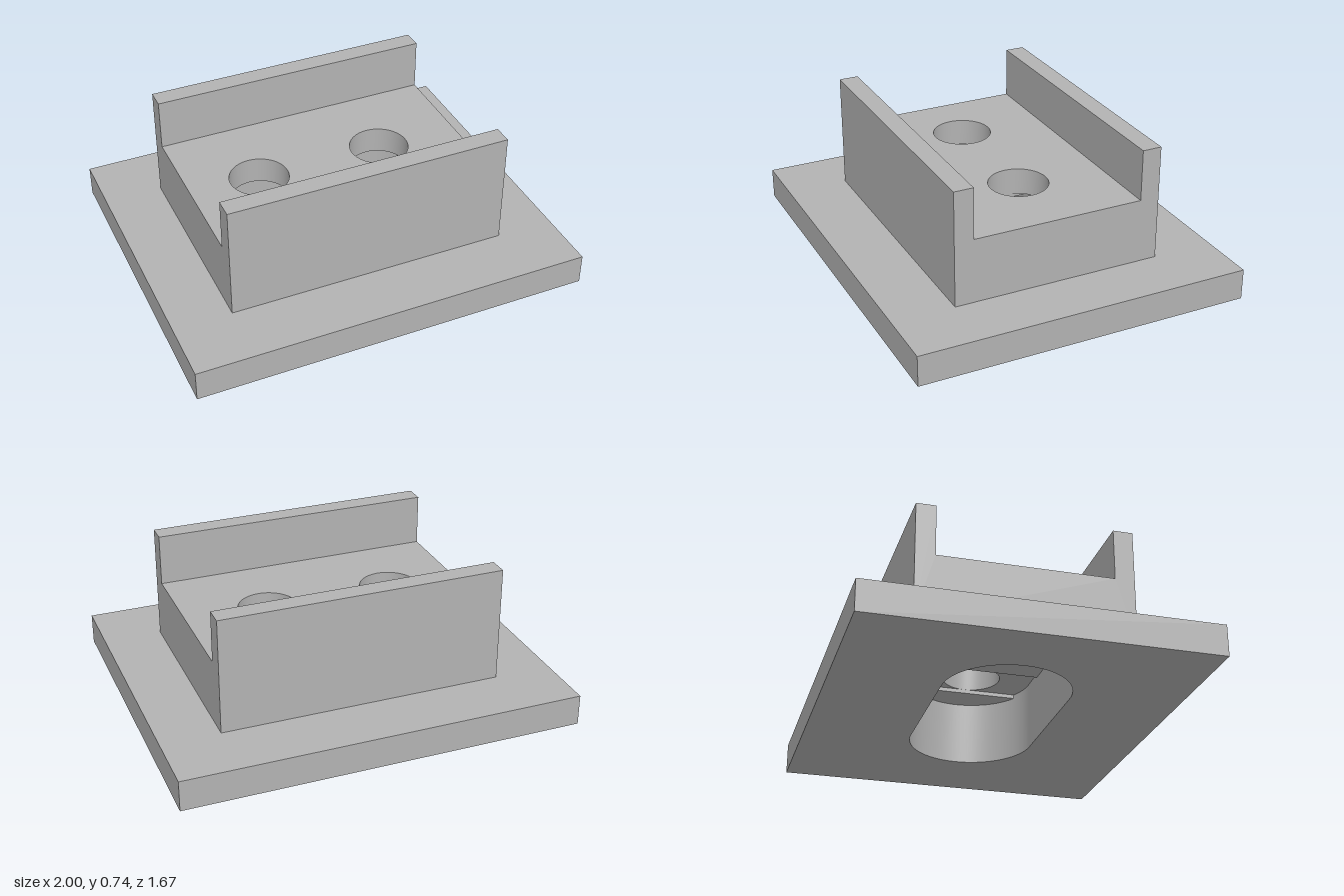
import * as THREE from 'three';
import { mergeGeometries, toCreasedNormals } from 'three/addons/utils/BufferGeometryUtils.js';

const V = (x, y) => new THREE.Vector2(x, y);
const rect = (x0, x1, z0, z1) => [V(x0, z0), V(x1, z0), V(x1, z1), V(x0, z1)];
const circle = (cx, r, n = 64) =>
  Array.from({ length: n }, (_, i) => V(cx + r * Math.cos(i / n * 2 * Math.PI), r * Math.sin(i / n * 2 * Math.PI)));

// Heights and sizes
const BASE_TOP = 0.155, SLOT_TOP = 0.325, STEP_TOP = 0.345, FLOOR = 0.48, TOP = 0.737;
const BX = 1, BZ = 0.837, KX = 0.708, KZ = 0.527, RZ = 0.43;
const HOLES = [-0.355, 0.29], HOLE_R = 0.147, SLOT_R = 0.31;

// Outline of the round-ended slot between two x positions, counter-clockwise
function slotSlice(x0, x1) {
  const [a, b] = HOLES, xs = [x0, x1];
  for (let i = 0; i <= 24; i++) {
    const d = SLOT_R * Math.cos(i / 24 * Math.PI / 2);
    xs.push(a - d, b + d);
  }
  const row = xs.filter(x => x >= x0 && x <= x1).sort((p, q) => p - q);
  const half = x => {
    const d = Math.max(a - x, x - b, 0);
    return Math.sqrt(Math.max(0, SLOT_R * SLOT_R - d * d));
  };
  const loop = [...row.map(x => V(x, -half(x))), ...row.reverse().map(x => V(x, half(x)))];
  return loop.filter((p, i) => p.distanceTo(loop[(i + 1) % loop.length]) > 1e-5);
}

// Horizontal face with holes, looking up or down
function flat(outline, y, up, holes = []) {
  const shape = new THREE.Shape(outline);
  shape.holes = holes.map(h => new THREE.Path(h));
  return new THREE.ShapeGeometry(shape).rotateX(up ? -Math.PI / 2 : Math.PI / 2).translate(0, y, 0).toNonIndexed();
}

// Upright wall around a closed outline, facing outward or inward
function wall(outline, y0, y1, inward = false) {
  const pts = inward ? [...outline].reverse() : outline;
  const pos = [], uv = [];
  pts.forEach((a, i) => {
    const b = pts[(i + 1) % pts.length];
    pos.push(a.x, y0, -a.y, b.x, y0, -b.y, b.x, y1, -b.y, a.x, y0, -a.y, b.x, y1, -b.y, a.x, y1, -a.y);
    uv.push(0, 0, 1, 0, 1, 1, 0, 0, 1, 1, 0, 1);
  });
  const g = new THREE.BufferGeometry();
  g.setAttribute('position', new THREE.Float32BufferAttribute(pos, 3));
  g.setAttribute('uv', new THREE.Float32BufferAttribute(uv, 2));
  g.computeVertexNormals();
  return toCreasedNormals(g, Math.PI / 6);
}

export function createModel() {
  const group = new THREE.Group();
  group.name = 'mountingBlock';
  const grey = new THREE.MeshStandardMaterial({ color: 0xb2b2b2 });
  grey.name = 'plain grey';
  const add = (name, ...parts) => {
    const mesh = new THREE.Mesh(mergeGeometries(parts), grey);
    mesh.name = name;
    group.add(mesh);
  };

  const baseLine = rect(-BX, BX, -BZ, BZ), blockLine = rect(-KX, KX, -KZ, KZ);
  const left = HOLES[0] - SLOT_R, right = HOLES[1] + SLOT_R;
  const slot = slotSlice(left, right);
  const bores = HOLES.map(x => circle(x, HOLE_R));

  // Base plate with the slot opening underneath
  add('basePlate',
    flat(baseLine, 0, false, [slot]),
    wall(baseLine, 0, BASE_TOP),
    flat(baseLine, BASE_TOP, true, [blockLine]));

  // Raised block: channel-shaped ends and the floor between the rails
  const profile = new THREE.Shape([
    V(-KZ, BASE_TOP), V(KZ, BASE_TOP), V(KZ, TOP), V(RZ, TOP),
    V(RZ, FLOOR), V(-RZ, FLOOR), V(-RZ, TOP), V(-KZ, TOP)]);
  const end = s => new THREE.ShapeGeometry(profile).rotateY(s * Math.PI / 2).translate(s * KX, 0, 0).toNonIndexed();
  add('blockEnds', end(1), end(-1));
  add('blockFloor', flat(rect(-KX, KX, -RZ, RZ), FLOOR, true, bores));

  // Side rails: outer face, top and inner face
  for (const [name, s] of [['frontRail', 1], ['backRail', -1]]) {
    const face = (h, y, z, dir) => new THREE.PlaneGeometry(2 * KX, h)
      .rotateY(dir > 0 ? 0 : Math.PI).translate(0, y, z).toNonIndexed();
    const z0 = s > 0 ? RZ : -KZ;
    add(name,
      face(TOP - BASE_TOP, (TOP + BASE_TOP) / 2, s * KZ, s),
      face(TOP - FLOOR, (TOP + FLOOR) / 2, s * RZ, -s),
      flat(rect(-KX, KX, -z0 - (KZ - RZ), -z0), TOP, true));
  }

  // Slot: side wall and the ceiling strips beside the shallow steps
  const [a, b] = HOLES;
  add('slot',
    wall(slot, 0, SLOT_TOP, true),
    flat(slotSlice(left, a - HOLE_R), SLOT_TOP, false),
    flat(slotSlice(a + HOLE_R, b - HOLE_R), SLOT_TOP, false),
    flat(slotSlice(b + HOLE_R, right), SLOT_TOP, false));

  // Shallow step across the slot at each hole, then the round hole itself
  HOLES.forEach((x, i) => {
    const step = slotSlice(x - HOLE_R, x + HOLE_R);
    // Rounding can let the bore touch the step edge, so it is drawn a hair smaller here
    const bore = circle(x, HOLE_R - 0.0005);
    add('holeStep', wall(step, SLOT_TOP, STEP_TOP, true), flat(step, STEP_TOP, false, [bore]));
    add('roundHole', wall(bores[i], STEP_TOP, FLOOR, true));
  });
  return group;
}
